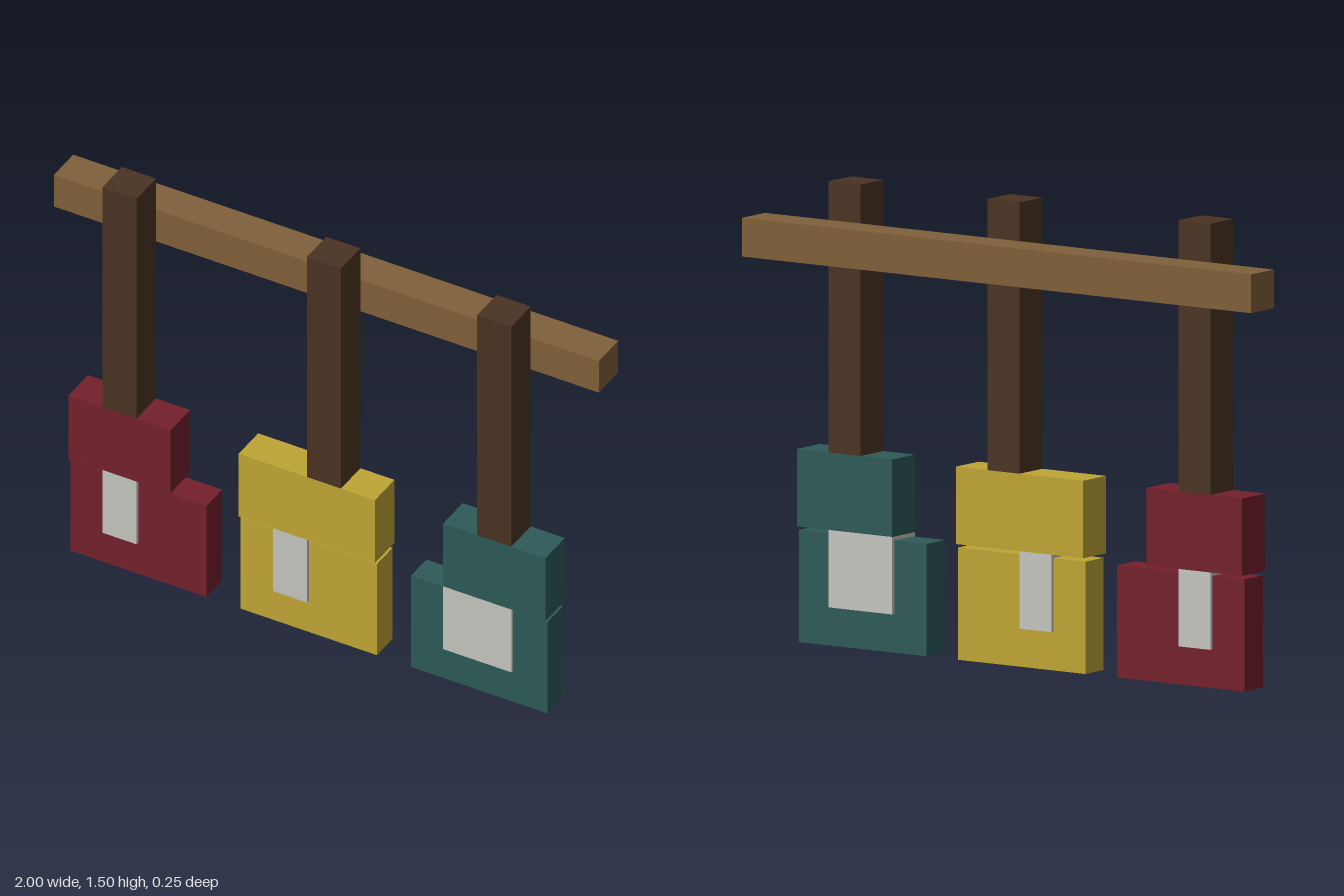
import * as THREE from 'three';

const material = (name, color) => {
  const m = new THREE.MeshStandardMaterial({ color });
  m.name = name;
  return m;
};

// Box given by its extents on each axis
function block(name, mat, [x0, x1], [y0, y1], [z0, z1]) {
  const mesh = new THREE.Mesh(new THREE.BoxGeometry(x1 - x0, y1 - y0, z1 - z0), mat);
  mesh.position.set((x0 + x1) / 2, (y0 + y1) / 2, (z0 + z1) / 2);
  mesh.name = name;
  return mesh;
}

export function createModel() {
  const lightWood = material('light wood', 0x80603a);
  const darkWood = material('dark wood', 0x4a3322);
  const metal = material('pale grey', 0xc6c6c0);
  const red = material('dark red', 0x74202c);
  const yellow = material('mustard yellow', 0xc0a535);
  const teal = material('dark teal', 0x2d5a58);

  const model = new THREE.Group();
  model.name = 'hangingRack';

  // Crossbeam behind the posts
  model.add(block('crossbeam', lightWood, [-1, 1], [1.25, 1.375], [-0.125, 0]));

  // Three hanging pieces: x extents of each part
  const pieces = [
    { name: 'redHanger', mat: red, post: [-0.75, -0.625], upper: [-0.875, -0.5], lower: [-0.875, -0.375], plate: [-0.75, -0.625] },
    { name: 'yellowHanger', mat: yellow, post: [0, 0.125], upper: [-0.25, 0.25], lower: [-0.25, 0.25], plate: [-0.125, 0] },
    { name: 'tealHanger', mat: teal, post: [0.625, 0.75], upper: [0.5, 0.875], lower: [0.375, 0.875], plate: [0.5, 0.75] },
  ];
  const full = [0, 0.125];
  const inset = [0.0125, 0.1125];
  for (const p of pieces) {
    const hanger = new THREE.Group();
    hanger.name = p.name;
    hanger.add(
      block('post', darkWood, p.post, [0.625, 1.5], full),
      block('upperBlock', p.mat, p.upper, [0.375, 0.625], full),
      block('lowerBlock', p.mat, p.lower, [0, 0.3625], inset),
      block('connectorPlate', metal, p.plate, [0.125, 0.375], full),
    );
    model.add(hanger);
  }
  return model;
}
